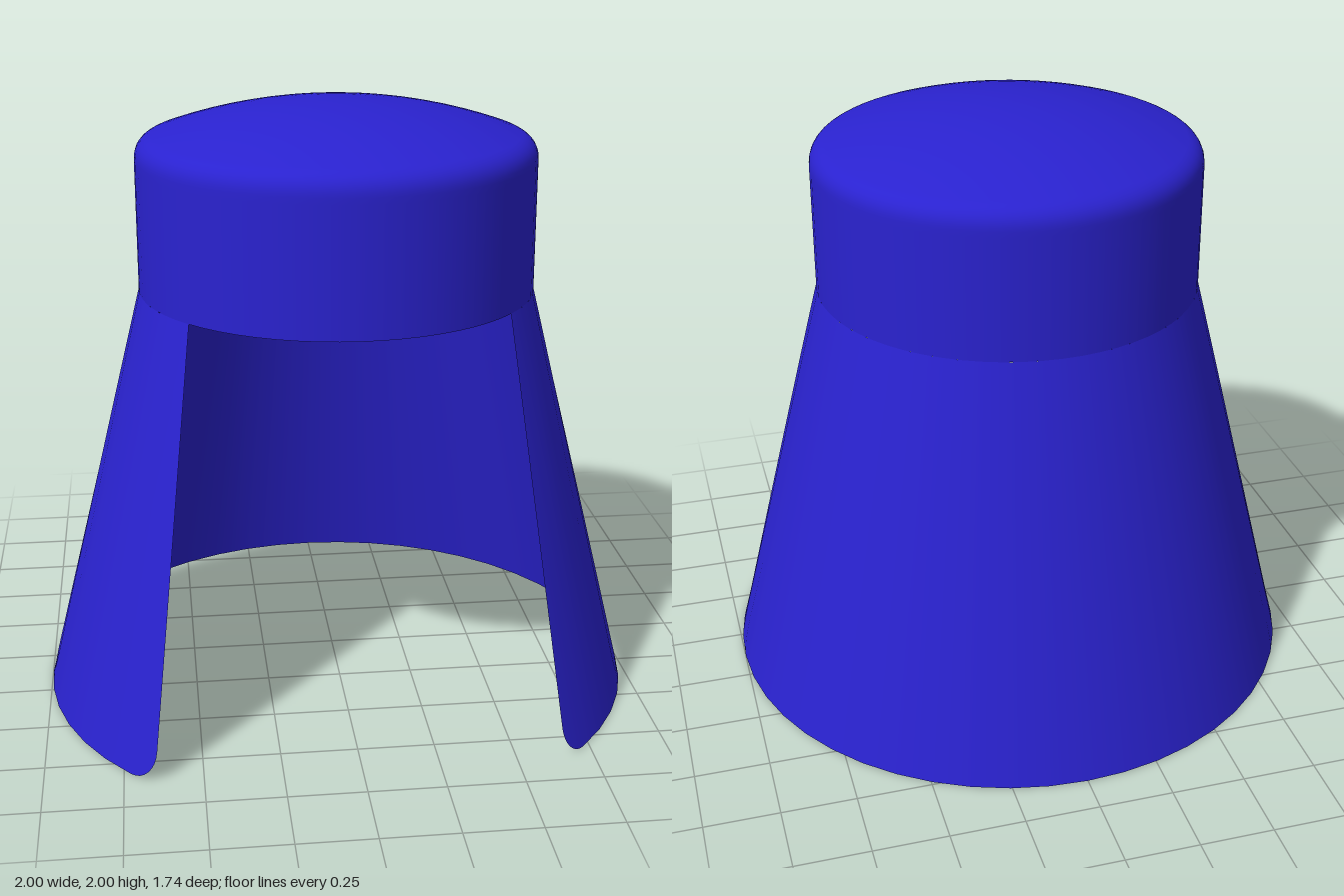
import * as THREE from 'three';

const AXIS_Z = 0.13;      // the round body sits slightly forward of the origin
const NECK_Y = 1.39;      // where the skirt meets the cap
const NECK_R = 0.65;
const BASE_R = 1;
const CORNER = 0.1;       // rounding of the lower flap corners

// Half angle of the front opening at height y
function gapAngle(y) {
  const r = THREE.MathUtils.lerp(BASE_R, NECK_R, y / NECK_Y);
  const x = THREE.MathUtils.lerp(0.655, 0.5, y / NECK_Y);
  let angle = Math.asin(x / r);
  if (y < CORNER) angle += (CORNER - Math.sqrt(CORNER ** 2 - (CORNER - y) ** 2)) / r;
  return angle;
}

// Conical sheet wrapped around the back, open at the front
function skirtGeometry() {
  const columns = 36;
  const rows = [];
  for (let i = 0; i <= 8; i++) rows.push(CORNER * (1 - Math.cos((i / 8) * Math.PI / 2)));
  for (let i = 1; i <= 10; i++) rows.push(THREE.MathUtils.lerp(CORNER, NECK_Y, i / 10));

  const positions = [], normals = [], index = [];
  const slope = (BASE_R - NECK_R) / NECK_Y;
  rows.forEach((y, j) => {
    const r = BASE_R - slope * y;
    const gap = gapAngle(y);
    for (let i = 0; i <= columns; i++) {
      const a = THREE.MathUtils.lerp(gap, 2 * Math.PI - gap, i / columns);
      positions.push(r * Math.sin(a), y, r * Math.cos(a));
      const n = new THREE.Vector3(Math.sin(a), slope, Math.cos(a)).normalize();
      normals.push(n.x, n.y, n.z);
      if (j > 0 && i > 0) {
        const d = j * (columns + 1) + i, c = d - 1;
        const b = d - columns - 1, e = b - 1;
        index.push(e, b, d, e, d, c);
      }
    }
  });
  const geometry = new THREE.BufferGeometry();
  geometry.setAttribute('position', new THREE.Float32BufferAttribute(positions, 3));
  geometry.setAttribute('normal', new THREE.Float32BufferAttribute(normals, 3));
  geometry.setIndex(index);
  return geometry;
}

// Upright band, rounded shoulder and shallow dome
function capGeometry() {
  const profile = [new THREE.Vector2(NECK_R, NECK_Y), new THREE.Vector2(NECK_R, 1.8)];
  const shoulder = new THREE.CubicBezierCurve(
    new THREE.Vector2(NECK_R, 1.82), new THREE.Vector2(NECK_R, 1.86),
    new THREE.Vector2(0.63, 1.884), new THREE.Vector2(0.595, 1.897));
  profile.push(...shoulder.getPoints(8));
  const domeR = 1.77;
  for (let i = 1; i <= 12; i++) {
    const x = 0.595 * (1 - i / 12);
    profile.push(new THREE.Vector2(x, 2 - domeR + Math.sqrt(domeR ** 2 - x ** 2)));
  }
  return new THREE.LatheGeometry(profile, 64);
}

export function createModel() {
  const group = new THREE.Group();
  const material = new THREE.MeshStandardMaterial({ color: 0x2a22d0, side: THREE.DoubleSide });
  const parts = { skirt: skirtGeometry(), cap: capGeometry() };
  for (const [name, geometry] of Object.entries(parts)) {
    const mesh = new THREE.Mesh(geometry, material);
    mesh.name = name;
    mesh.position.z = AXIS_Z;
    group.add(mesh);
  }
  return group;
}
